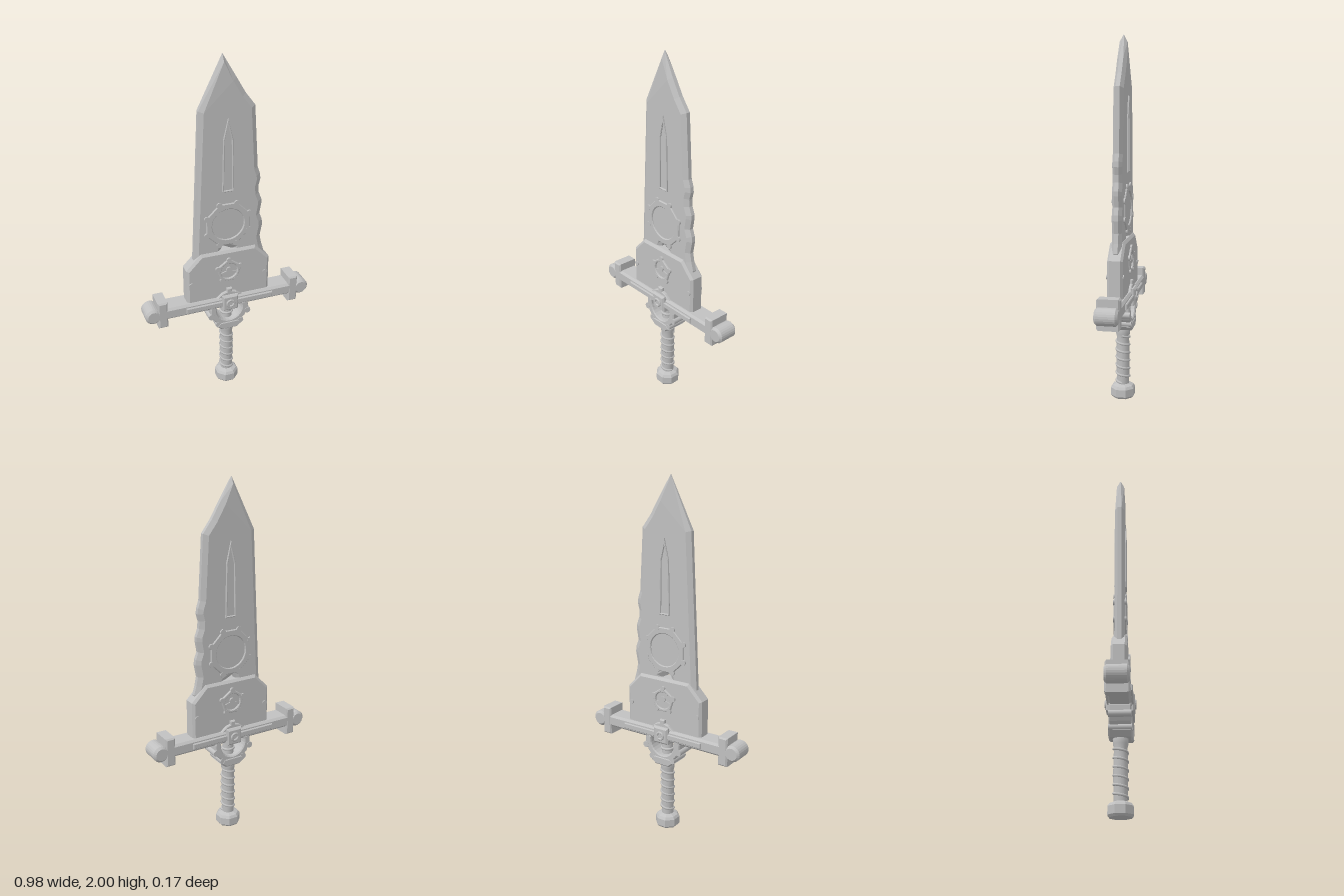
import * as THREE from 'three';

const metal = new THREE.MeshStandardMaterial({ color: 0xc0c0c0 });
metal.name = 'light grey metal';

export function createModel() {
  const group = new THREE.Group();
  group.name = 'sword';

  const add = (name, geometry, x = 0, y = 0, z = 0) => {
    const mesh = new THREE.Mesh(geometry, metal);
    mesh.name = name;
    mesh.position.set(x, y, z);
    group.add(mesh);
    return mesh;
  };
  const outline = pts => new THREE.Shape(pts.map(p => new THREE.Vector2(p[0], p[1])));
  const path = pts => new THREE.Path(pts.map(p => new THREE.Vector2(p[0], p[1])));
  const ngon = (n, r, turn = 0) => Array.from({ length: n }, (_, i) => {
    const a = turn + (i / n) * Math.PI * 2;
    return [Math.cos(a) * r, Math.sin(a) * r];
  });
  const rect = (w, h) => [[-w, -h], [w, -h], [w, h], [-w, h]];
  // Extrusion centred on z = 0, chamfered inwards on both faces
  const plate = (shape, half, inset = 0.006, thick = inset) => new THREE.ExtrudeGeometry(shape, {
    depth: 2 * (half - thick), bevelEnabled: true, bevelSegments: 1, curveSegments: 16,
    bevelSize: inset, bevelOffset: -inset, bevelThickness: thick,
  }).translate(0, 0, -(half - thick));
  // Cylinder lying along z
  const peg = (r, half, sides = 16) => new THREE.CylinderGeometry(r, r, 2 * half, sides).rotateX(Math.PI / 2);

  // Blade: straight left edge, scalloped right edge, small notch above the base
  const blade = outline([
    [-0.2, 0.8], [0.2, 0.8], [0.22, 0.86], [0.205, 0.91], [0.195, 0.96], [0.208, 1.03], [0.205, 1.06],
    [0.19, 1.1], [0.2, 1.16], [0.2, 1.185], [0.183, 1.23], [0.181, 1.27], [0.191, 1.31],
    [0.188, 1.34], [0.174, 1.38], [0.153, 1.725], [0.1, 1.795], [0.05, 1.88], [-0.02, 2.0],
    [-0.153, 1.725],
  ]);
  blade.holes.push(path([[-0.045, 0.895], [-0.026, 0.938], [0.03, 0.91], [0.03, 0.895]]));
  const bladeGeometry = plate(blade, 0.027, 0.026, 0.016);
  // Thin the blade towards its point
  const position = bladeGeometry.attributes.position;
  for (let i = 0; i < position.count; i++) {
    position.setZ(i, position.getZ(i) * Math.min(1, 0.2 + (2 - position.getY(i)) / 0.06));
  }
  bladeGeometry.computeVertexNormals();
  add('blade', bladeGeometry);

  // Pointed frame on the upper blade, with a sunken middle
  const frame = outline([[-0.033, 1.27], [0.033, 1.27], [0.027, 1.565], [0, 1.68], [-0.027, 1.565]]);
  frame.holes.push(path([[-0.024, 1.279], [0.024, 1.279], [0.02, 1.56], [0, 1.645], [-0.02, 1.56]]));
  add('bladeFrame', plate(frame, 0.035, 0.003));

  // Eight-sided ring with studs on the lower blade
  const ring = outline(ngon(8, 0.135, Math.PI / 8));
  ring.holes.push(path(ngon(32, 0.092)));
  add('bladeRing', plate(ring, 0.035, 0.004), 0, 1.075);
  ngon(8, 0.131, Math.PI / 8).forEach(([x, y]) => add('ringStud', peg(0.016, 0.036, 10), x, 1.075 + y));

  // Broad block at the base of the blade, with rivets
  add('bladeBase', plate(outline([
    [-0.245, 0.6], [0.245, 0.6], [0.245, 0.825], [0.16, 0.913], [-0.16, 0.913], [-0.245, 0.825],
  ]), 0.042, 0.014, 0.012));
  for (const s of [-1, 1]) add('rivet', peg(0.014, 0.047, 10), s * 0.22, 0.735);

  // Five-sided emblem on the block
  const emblem = outline(ngon(5, 0.078, Math.PI / 2));
  emblem.holes.push(path(ngon(24, 0.048)));
  add('emblemRing', plate(emblem, 0.052, 0.004), 0, 0.788);
  ngon(5, 0.07, Math.PI / 2).forEach(([x, y]) => add('emblemStud', peg(0.014, 0.053, 10), x, 0.788 + y));
  add('emblemHub', peg(0.016, 0.05, 12), 0, 0.795);
  for (const s of [-1, 1]) {
    const arm = add('emblemArm', new THREE.BoxGeometry(0.045, 0.014, 0.094), s * 0.025, 0.777);
    arm.rotation.z = -s * 0.3;
  }

  // Crossguard bar with a raised strip along its middle
  const bar = plate(outline([[-0.06, -0.41], [0.06, -0.41], [0.06, 0.41], [-0.06, 0.41]]), 0.035, 0.012);
  add('guardBar', bar.rotateZ(Math.PI / 2).rotateX(Math.PI / 2), 0, 0.585);
  add('guardStrip', plate(outline(rect(0.26, 0.016)), 0.07, 0.004), 0, 0.585);

  // Cross pieces and round knobs at both ends
  for (const s of [-1, 1]) {
    add('guardCrossPiece', plate(outline(rect(0.028, 0.082)), 0.061, 0.008), s * 0.393, 0.583);
    add('guardKnob', plate(outline(ngon(24, 0.046)), 0.061, 0.012), s * 0.446, 0.583);
  }

  // Central boss with a bolt and a small crown
  add('boss', plate(outline(rect(0.048, 0.049)), 0.076, 0.01), 0, 0.586);
  const bolt = outline(ngon(16, 0.027));
  bolt.holes.push(path(ngon(6, 0.014)));
  add('bossBolt', plate(bolt, 0.083, 0.004), 0, 0.585);
  add('bossCrown', plate(outline([
    [-0.075, 0.62], [0.075, 0.62], [0.04, 0.648], [0.016, 0.655], [0.016, 0.675],
    [-0.016, 0.675], [-0.016, 0.655], [-0.04, 0.648],
  ]), 0.058, 0.005));

  // Open ring with studs, hanging from the guard
  const arc = (r, from, to, n = 16) => Array.from({ length: n + 1 }, (_, i) => {
    const a = from + (to - from) * (i / n);
    return [Math.cos(a) * r, Math.sin(a) * r];
  });
  add('lowerRing', plate(outline([
    ...arc(0.115, Math.PI * 0.9, Math.PI * 2.1), ...arc(0.077, Math.PI * 2.1, Math.PI * 0.9),
  ]), 0.058, 0.006), 0, 0.535);
  for (const a of [0.3, 0.95]) {
    for (const s of [-1, 1]) {
      add('lowerRingStud', peg(0.018, 0.06, 12), s * Math.cos(a) * 0.115, 0.535 - Math.sin(a) * 0.115);
    }
  }
  add('lowerRingFoot', plate(outline([
    [-0.045, 0.398], [0.045, 0.398], [0.08, 0.425], [0.06, 0.45], [-0.06, 0.45], [-0.08, 0.425],
  ]), 0.062, 0.008));

  // Grip with a spiral binding
  const lathe = (pts, n) => new THREE.LatheGeometry(pts.map(p => new THREE.Vector2(p[0], p[1])), n);
  add('grip', lathe([
    [0.034, 0.06], [0.035, 0.1], [0.038, 0.2], [0.037, 0.3], [0.034, 0.345], [0.04, 0.37],
    [0.041, 0.4], [0.033, 0.42], [0.031, 0.56],
  ], 16));
  const spiral = Array.from({ length: 73 }, (_, i) => {
    const a = (i / 12) * Math.PI * 2;
    return new THREE.Vector3(Math.cos(a) * 0.036, 0.085 + i * 0.0038, Math.sin(a) * 0.036);
  });
  add('gripBinding', new THREE.TubeGeometry(new THREE.CatmullRomCurve3(spiral), 144, 0.007, 6));
  const collar = add('gripCollar', new THREE.TorusGeometry(0.033, 0.007, 8, 20), 0, 0.49);
  collar.rotation.x = Math.PI / 2;

  // Faceted pommel
  const pommel = lathe([
    [0, 0], [0.06, 0], [0.07, 0.012], [0.07, 0.054], [0.06, 0.068], [0.036, 0.078], [0, 0.078],
  ], 8).rotateY(Math.PI / 8).toNonIndexed();
  pommel.computeVertexNormals();
  add('pommel', pommel);

  return group;
}
